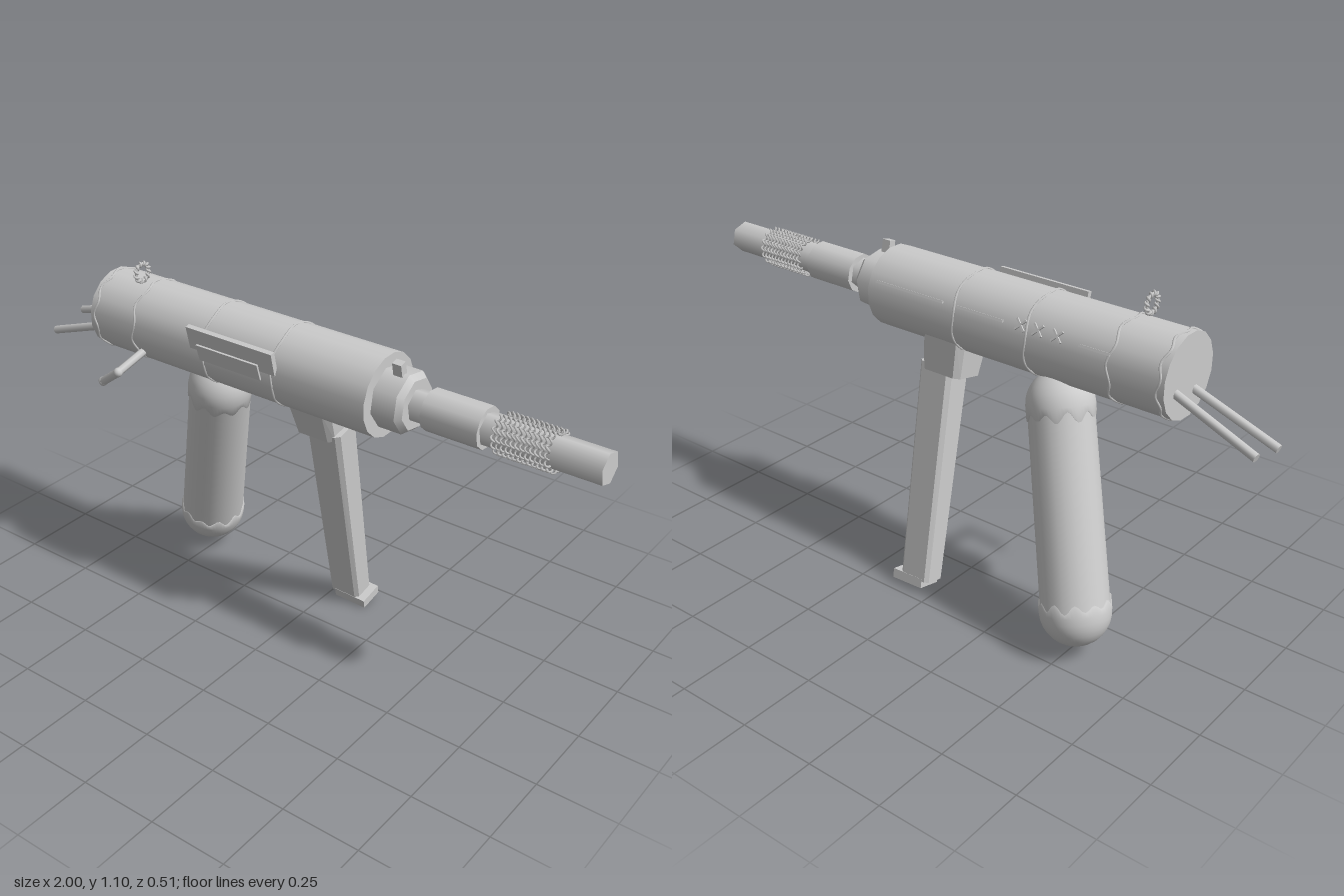
import * as THREE from 'three';

const ROLL = 0.22;
const metal = new THREE.MeshStandardMaterial({ color: 0xcccccc });
metal.name = 'grey';
const thin = new THREE.MeshStandardMaterial({ color: 0xcccccc, side: THREE.DoubleSide });
thin.name = 'grey';

const V = (x, y, z) => new THREE.Vector3(x, y, z);

function add(parent, name, geometry, pos = [0, 0, 0], rot = [0, 0, 0], material = metal) {
  const m = new THREE.Mesh(geometry, material);
  m.name = name;
  m.position.set(...pos);
  m.rotation.set(...rot);
  parent.add(m);
  return m;
}

// Cylinder lying along x from x0 to x1
function tubeX(parent, name, x0, x1, r0, r1, sides) {
  const g = new THREE.CylinderGeometry(r1, r0, x1 - x0, sides, 1, false, Math.PI / 2);
  g.rotateZ(-Math.PI / 2);
  return add(parent, name, g, [(x0 + x1) / 2, 0, 0]);
}

// Round rod between two points
function rod(parent, name, a, b, r, sides = 8) {
  const d = b.clone().sub(a);
  const m = add(parent, name, new THREE.CylinderGeometry(r, r, d.length(), sides));
  m.position.copy(a).addScaledVector(d, 0.5);
  m.quaternion.setFromUnitVectors(V(0, 1, 0), d.normalize());
  return m;
}

// Wavy raised seam around the body
function seam(parent, x, r, wave, n) {
  const pts = [];
  for (let i = 0; i < 64; i++) {
    const a = (i / 64) * Math.PI * 2;
    pts.push(V(x + wave * Math.sin(n * a), r * Math.cos(a), r * Math.sin(a)));
  }
  add(parent, 'seam', new THREE.TubeGeometry(new THREE.CatmullRomCurve3(pts, true), 96, 0.004, 5, true));
}

// Coil wound from a finer coil, running round the x axis
class RopeCoil extends THREE.Curve {
  constructor(x0, x1, turns, r, fine, wiggles, phase = 0) {
    super();
    Object.assign(this, { x0, x1, turns, r, fine, wiggles, phase });
  }
  getPoint(t, out = new THREE.Vector3()) {
    const a = t * this.turns * Math.PI * 2 + this.phase;
    const w = t * this.turns * this.wiggles * Math.PI * 2 + this.phase;
    const r = this.r + this.fine * Math.cos(w);
    return out.set(this.x0 + (this.x1 - this.x0) * t + this.fine * Math.sin(w), r * Math.cos(a), r * Math.sin(a));
  }
}

// Dome cap with a scalloped rim; y grows towards the rim
function scallopCap(r, skirt, wave, n) {
  const pts = [];
  for (let i = 0; i <= 8; i++) {
    const a = (i / 8) * Math.PI / 2;
    pts.push(new THREE.Vector2(Math.max(r * Math.sin(a), 1e-4), -r * Math.cos(a)));
  }
  pts.push(new THREE.Vector2(r, skirt), new THREE.Vector2(r - 0.009, skirt + 0.001));
  const g = new THREE.LatheGeometry(pts, 64);
  const p = g.attributes.position;
  for (let i = 0; i < p.count; i++) {
    if (p.getY(i) < skirt - 1e-4) continue;
    const a = Math.atan2(p.getZ(i), p.getX(i));
    p.setY(i, p.getY(i) + wave * (Math.sin(n * a) + 0.35 * Math.sin((n - 3) * a + 1)));
  }
  return g;
}

// Chamfered block from y = 0 down, scaled and shifted in x towards its lower end
function taperedBlock(w, d, h, chamfer, endScale, shift) {
  const [a, b, c] = [w / 2, d / 2, chamfer];
  const s = new THREE.Shape([[-a + c, -b], [a - c, -b], [a, -b + c], [a, b - c], [a - c, b], [-a + c, b], [-a, b - c], [-a, -b + c]]
    .map(([x, y]) => new THREE.Vector2(x, y)));
  const g = new THREE.ExtrudeGeometry(s, { depth: h, bevelEnabled: false });
  g.rotateX(Math.PI / 2);
  const p = g.attributes.position;
  for (let i = 0; i < p.count; i++) {
    const t = -p.getY(i) / h;
    const k = 1 + (endScale - 1) * t;
    p.setX(i, p.getX(i) * (k + 1) / 2 + shift * t);
    p.setZ(i, p.getZ(i) * k);
  }
  g.computeVertexNormals();
  return g;
}

export function createModel() {
  const root = new THREE.Group();
  root.name = 'model';
  // Everything is built about the barrel axis, then rolled
  const g = new THREE.Group();
  g.name = 'assembly';
  g.position.set(0, 0.908, 0.02);
  g.rotation.x = ROLL;
  root.add(g);

  // Body, nose and barrel
  tubeX(g, 'body', -0.728, 0.318, 0.127, 0.127, 16);
  tubeX(g, 'nose', 0.31, 0.395, 0.094, 0.094, 8);
  tubeX(g, 'noseBevel', 0.395, 0.412, 0.094, 0.078, 8);
  tubeX(g, 'barrel', 0.4, 1.0, 0.05, 0.05, 6);
  tubeX(g, 'barrelSleeve', 0.46, 0.64, 0.063, 0.063, 10);
  add(g, 'frontSight', new THREE.BoxGeometry(0.03, 0.05, 0.024), [0.365, 0.104, 0]);

  // Wound wire on the barrel
  for (const phase of [0, Math.PI]) {
    const coil = new RopeCoil(0.68, 0.855, 6, 0.055, 0.006, 15, phase);
    add(g, 'barrelWire', new THREE.TubeGeometry(coil, 700, 0.0032, 4));
  }

  // Seams round the body
  seam(g, -0.708, 0.126, 0.006, 9);
  seam(g, -0.55, 0.126, 0.007, 7);
  seam(g, -0.27, 0.126, 0.004, 5);
  seam(g, -0.01, 0.126, 0.004, 5);

  // Lengthwise seam with cross stitches on the back
  const back = new THREE.Group();
  back.name = 'backSeam';
  back.rotation.x = 0.2;
  g.add(back);
  for (const [x0, x1] of [[0.03, 0.29], [-0.19, -0.02], [-0.55, -0.45]]) {
    add(back, 'seamStrip', new THREE.BoxGeometry(x1 - x0, 0.008, 0.009), [(x0 + x1) / 2, 0, -0.126]);
  }
  for (const x of [-0.25, -0.31, -0.375]) {
    for (const s of [-1, 1]) {
      add(back, 'stitch', new THREE.BoxGeometry(0.045, 0.006, 0.008), [x, 0.005, -0.126], [0, 0, s * 0.8]);
    }
  }

  // Side plates
  add(g, 'sidePlate', new THREE.BoxGeometry(0.32, 0.075, 0.016), [-0.15, 0.082, 0.115]);
  add(g, 'sideCover', new THREE.BoxGeometry(0.23, 0.056, 0.006), [-0.15, 0.052, 0.137], [0.06, 0, 0]);

  // Ring on top
  const loop = new THREE.Group();
  loop.name = 'topRing';
  loop.position.set(-0.58, 0.164, 0);
  g.add(loop);
  add(loop, 'ringWire', new THREE.TubeGeometry(new RopeCoil(0, 0, 1, 0.028, 0.005, 12), 160, 0.004, 5, true));
  add(loop, 'ringCore', new THREE.TorusGeometry(0.028, 0.004, 6, 24), [0, 0, 0], [0, Math.PI / 2, 0]);

  // Crank handle
  const crank = new THREE.Group();
  crank.name = 'crankHandle';
  root.add(crank);
  const [c0, c1, c2] = [V(-0.53, 0.845, 0.1), V(-0.53, 0.812, 0.24), V(-0.612, 0.752, 0.226)];
  rod(crank, 'crankArm', c0, c1, 0.013);
  rod(crank, 'crankGrip', c1, c2, 0.014);
  for (const p of [c1, c2]) add(crank, 'crankJoint', new THREE.SphereGeometry(0.015, 10, 8), p.toArray());

  // Rear rods
  for (const s of [-1, 1]) rod(g, 'rearRod', V(-0.7, -0.035, s * 0.05), V(-0.994, -0.136, s * 0.066), 0.0135);

  // Grip with scalloped end caps
  const grip = new THREE.Group();
  grip.name = 'grip';
  const bottom = V(-0.51, -0.779, 0);
  const axis = V(-0.345, -0.192, 0).sub(bottom);
  const len = axis.length();
  grip.position.copy(bottom);
  grip.quaternion.setFromUnitVectors(V(0, 1, 0), axis.normalize());
  g.add(grip);
  add(grip, 'gripBody', new THREE.CylinderGeometry(0.098, 0.104, len, 24), [0, len / 2, 0]);
  add(grip, 'gripEnd', scallopCap(0.108, 0.025, 0.011, 11), [0, 0, 0], [0, 0, 0], thin);
  add(grip, 'gripTop', scallopCap(0.102, 0.03, 0.013, 10), [0, len, 0], [Math.PI, 0, 0], thin);

  // Magazine, its collar and foot
  add(g, 'magazineCollar', taperedBlock(0.16, 0.15, 0.12, 0.02, 0.78, 0), [0.06, -0.09, 0]);
  add(g, 'magazine', taperedBlock(0.122, 0.1, 0.7, 0.013, 0.8, -0.023), [0.088, -0.19, 0]);
  add(g, 'magazineFoot', new THREE.BoxGeometry(0.115, 0.03, 0.082), [0.088, -0.9, 0], [0, 0, -0.04]);

  return root;
}
